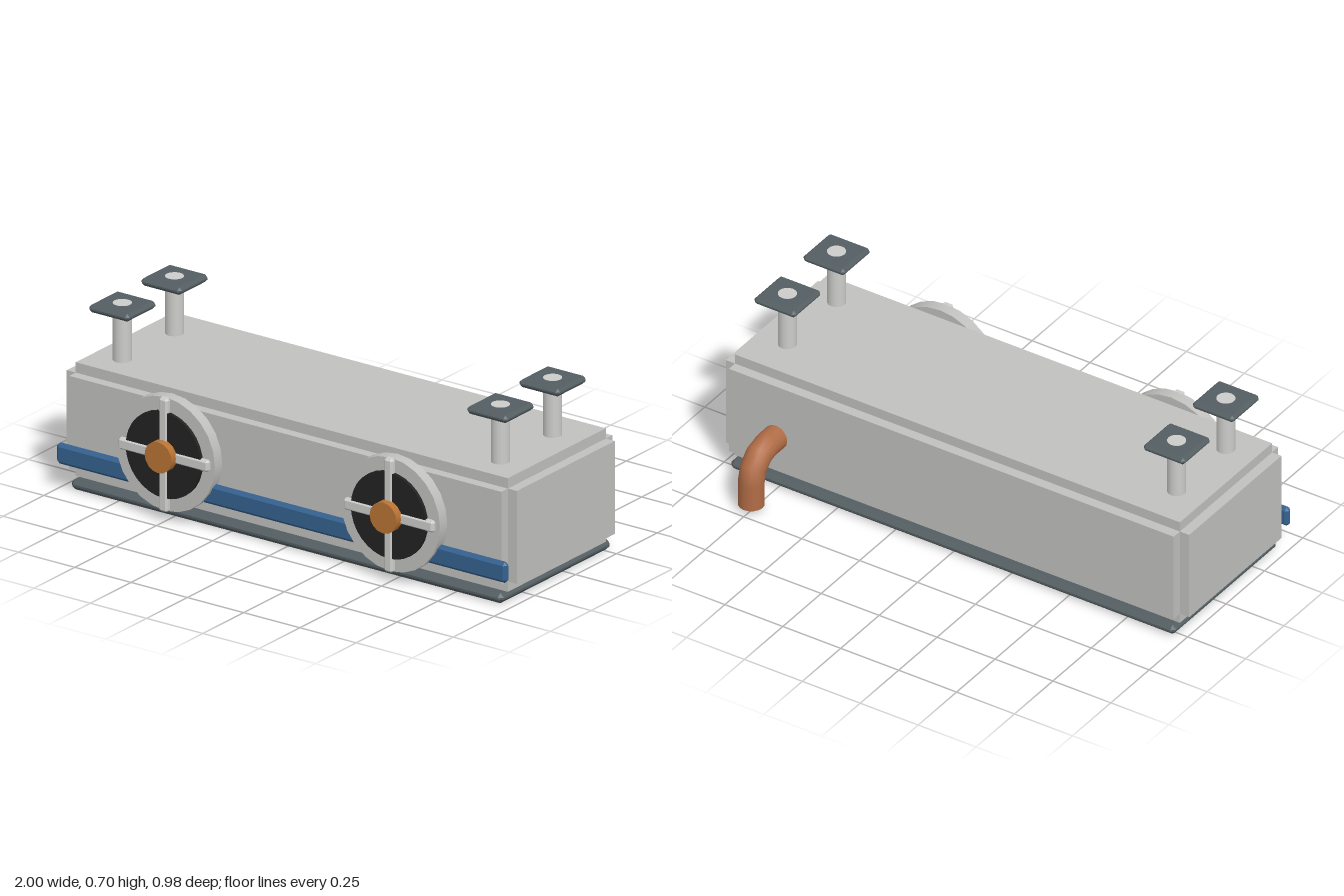
import * as THREE from 'three';
import { ConvexGeometry } from 'three/addons/geometries/ConvexGeometry.js';

function material(name, color) {
  const m = new THREE.MeshStandardMaterial({ color });
  m.name = name;
  return m;
}

// Box with every edge cut at 45 degrees by c
function chamferBox(w, h, d, c) {
  const points = [];
  const [x, y, z] = [w / 2, h / 2, d / 2];
  for (const sx of [-1, 1]) for (const sy of [-1, 1]) for (const sz of [-1, 1]) {
    points.push(
      new THREE.Vector3(sx * x, sy * (y - c), sz * (z - c)),
      new THREE.Vector3(sx * (x - c), sy * y, sz * (z - c)),
      new THREE.Vector3(sx * (x - c), sy * (y - c), sz * z));
  }
  return new ConvexGeometry(points);
}

export function createModel() {
  const model = new THREE.Group();
  model.name = 'coolingUnit';
  const casing = material('casing grey', 0xc0c0be);
  const steel = material('light steel', 0xcccccb);
  const dark = material('dark slate', 0x545e62);
  const black = material('fan black', 0x222222);
  const bronze = material('hub bronze', 0xb87333);
  const copper = material('pipe copper', 0xb06c46);
  const blue = material('rail blue', 0x34618f);

  function add(name, geometry, mat, x, y, z, parent = model) {
    const mesh = new THREE.Mesh(geometry, mat);
    mesh.name = name;
    mesh.position.set(x, y, z);
    parent.add(mesh);
    return mesh;
  }
  // Cylinder along z
  const disc = (r, depth, sides) =>
    new THREE.CylinderGeometry(r, r, depth, sides).rotateX(Math.PI / 2);

  // Casing: three crossing boxes leave a stepped notch along each edge
  add('casingTopBottom', new THREE.BoxGeometry(1.92, 0.44, 0.6), casing, 0, 0.26, 0.06);
  add('casingEnds', new THREE.BoxGeometry(2, 0.36, 0.6), casing, 0, 0.26, 0.06);
  add('casingFrontBack', new THREE.BoxGeometry(1.92, 0.36, 0.68), casing, 0, 0.26, 0.06);

  // Drip tray under the casing
  add('tray', chamferBox(1.92, 0.04, 0.68, 0.016), dark, 0, 0.02, 0.06);

  // Front rail
  add('rail', chamferBox(2, 0.08, 0.03, 0.012), blue, 0, 0.14, 0.415);

  // Hanging posts with mounting pads
  for (const x of [-0.84, 0.84]) for (const z of [-0.08, 0.24]) {
    add('post', new THREE.CylinderGeometry(0.035, 0.035, 0.221, 16), steel, x, 0.5905, z);
    add('mountingPad', chamferBox(0.18, 0.03, 0.18, 0.012), dark, x, 0.685, z);
  }

  // Two fans
  for (const x of [-0.5, 0.5]) {
    const fan = new THREE.Group();
    fan.name = 'fan';
    fan.position.set(x, 0.26, 0);
    model.add(fan);
    add('fanHousing', disc(0.22, 0.045, 24), casing, 0, 0, 0.4225, fan);
    add('fanOpening', disc(0.167, 0.02, 32), black, 0, 0, 0.448, fan);
    add('verticalGuard', chamferBox(0.04, 0.44, 0.03, 0.008), steel, 0, 0, 0.448, fan);
    add('horizontalGuard', chamferBox(0.4, 0.045, 0.03, 0.008), steel, 0, 0, 0.448, fan);
    add('fanHub', disc(0.06, 0.05, 16), bronze, 0, 0, 0.465, fan);
  }

  // Drain pipe: straight run, three-segment elbow, downward outlet
  const pipe = new THREE.Group();
  pipe.name = 'drainPipe';
  pipe.position.set(0.757, 0, 0);
  model.add(pipe);
  add('pipeRun', disc(0.049, 0.08, 16), copper, 0, 0.22, -0.3, pipe);
  const elbow = new THREE.TorusGeometry(0.1, 0.049, 16, 3, Math.PI / 2);
  add('pipeElbow', elbow, copper, 0, 0.12, -0.34, pipe).rotation.y = Math.PI / 2;
  add('pipeOutlet', new THREE.CylinderGeometry(0.049, 0.049, 0.1, 16), copper, 0, 0.07, -0.44, pipe);

  return model;
}
